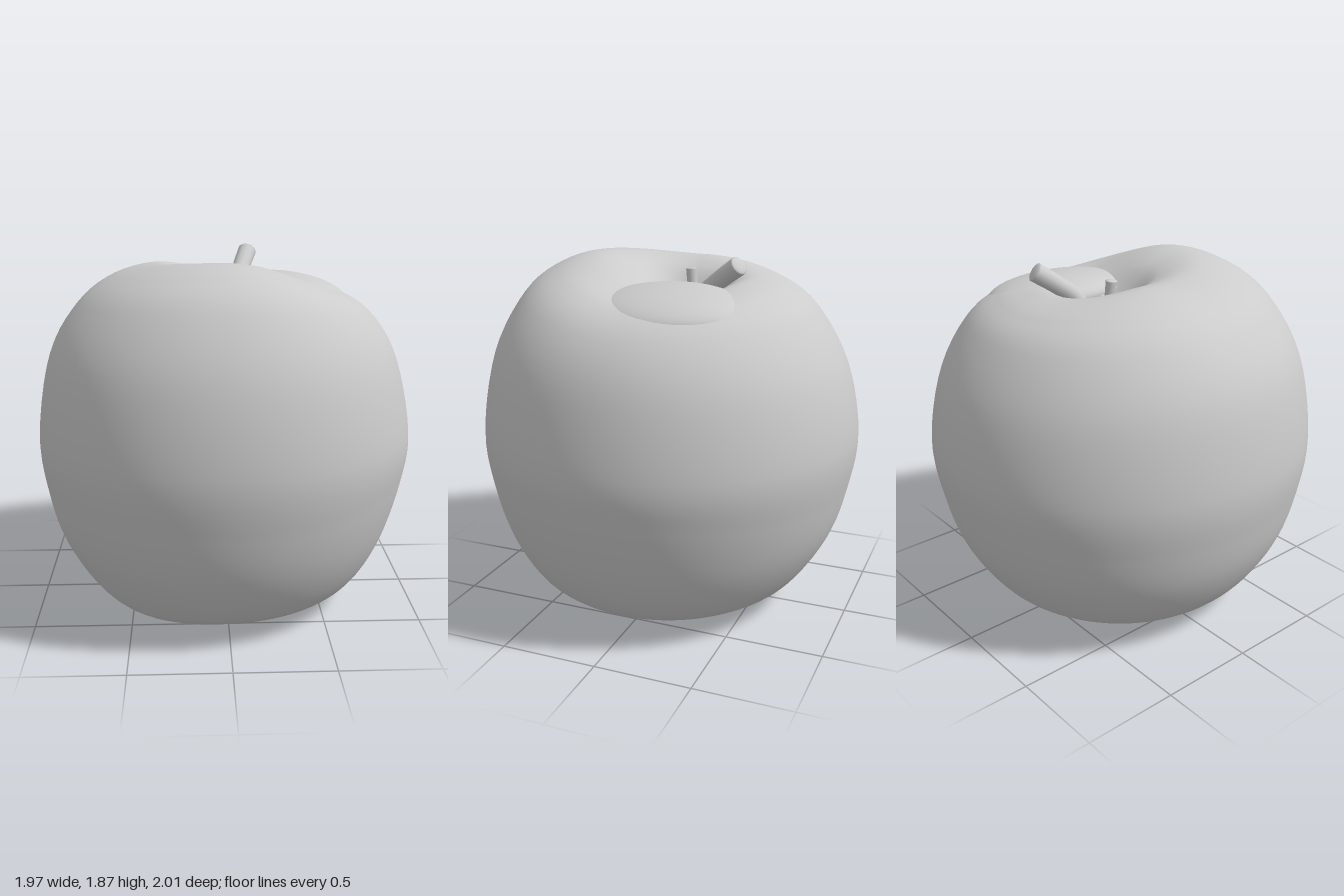
import * as THREE from 'three';
import { ParametricGeometry } from 'three/addons/geometries/ParametricGeometry.js';

// Section outlines [distance along axis, height], from the stem hollow over the
// shoulder and down to the calyx hollow, one per quarter of the fruit.
const SECTIONS = {
  left: [[0, 1.5], [.06, 1.54], [.12, 1.6], [.22, 1.67], [.34, 1.705], [.57, 1.685], [.76, 1.565], [.9, 1.33],
    [.98, .95], [.955, .7], [.87, .4], [.76, .19], [.63, .08], [.47, .04], [.33, .12], [.18, .22], [0, .28]],
  front: [[-.12, 1.5], [-.02, 1.56], [.07, 1.68], [.2, 1.8], [.4, 1.85], [.6, 1.795], [.77, 1.66], [.93, 1.36],
    [1, .95], [.96, .62], [.88, .36], [.74, .14], [.6, .06], [.43, .03], [.32, .11], [.18, .22], [0, .28]],
  right: [[0, 1.5], [-.07, 1.56], [-.13, 1.67], [-.22, 1.765], [-.36, 1.805], [-.58, 1.75], [-.76, 1.615], [-.91, 1.36],
    [-.98, .95], [-.95, .65], [-.88, .4], [-.74, .17], [-.58, .06], [-.4, .03], [-.31, .11], [-.18, .22], [0, .28]],
  back: [[-.12, 1.5], [-.2, 1.56], [-.27, 1.67], [-.36, 1.735], [-.46, 1.745], [-.62, 1.695], [-.77, 1.58], [-.93, 1.3],
    [-1, .95], [-.96, .65], [-.88, .4], [-.73, .17], [-.59, .075], [-.43, .04], [-.32, .12], [-.18, .22], [0, .28]],
};

// Soft round falloff used for the dent and the foot of the fruit
const falloff = (dx, dz, size) => Math.exp(-(dx * dx + dz * dz) / (size * size));

export function createModel() {
  const group = new THREE.Group();
  const material = new THREE.MeshStandardMaterial({ color: 0xcccccc, roughness: 0.8 });
  const add = (name, geometry) => {
    const mesh = new THREE.Mesh(geometry, material);
    mesh.name = name;
    group.add(mesh);
    return mesh;
  };

  // Fruit body: blend the four sections smoothly around the core
  const curves = Object.values(SECTIONS).map(
    (points) => new THREE.SplineCurve(points.map(([d, y]) => new THREE.Vector2(d, y))));
  const p = new THREE.Vector2();
  const skin = (u, v, target) => {
    const a = u * Math.PI * 2;
    const coreZ = -0.12 * (1 - THREE.MathUtils.smoothstep(v, 0, 0.45));
    let r = 0.001, y = 0;
    curves.forEach((curve, i) => {
      const w = Math.max(0, Math.cos(a - i * Math.PI / 2)) ** 2;
      curve.getPoint(v, p);
      r += w * Math.abs(p.x - (i % 2 ? coreZ : 0));
      y += w * p.y;
    });
    // fuller cheek at the front right
    r *= 1 + 0.03 * Math.max(0, Math.cos(a - Math.PI * 0.75)) ** 6;
    const x = r * Math.cos(a), z = coreZ + r * Math.sin(a);
    // dent in the left shoulder, lower foot at the front right
    const top = THREE.MathUtils.smoothstep(y, 0.9, 1.6);
    const foot = 1 - THREE.MathUtils.smoothstep(y, 0.05, 0.4);
    y -= 0.04 * top * falloff(x - 0.35, z + 0.08, 0.32) + 0.03 * foot * falloff(x + 0.33, z - 0.38, 0.3);
    target.set(x, y, z);
  };
  add('fruitBody', new ParametricGeometry(skin, 96, 80));

  // Fleshy lobes swelling out of the stem hollow
  const lobe = (name, position, scale, tilt) => {
    const mesh = add(name, new THREE.SphereGeometry(1, 48, 32));
    mesh.position.set(...position);
    mesh.scale.set(...scale);
    mesh.rotation.z = tilt;
  };
  lobe('shoulderLobe', [0.35, 1.635, -0.13], [0.31, 0.105, 0.39], -0.13);
  lobe('innerLobe', [0.06, 1.57, -0.05], [0.09, 0.1, 0.14], 0);

  // Tapered twig along a path, with a closed end
  const twig = (name, points, radii) => {
    const path = new THREE.CatmullRomCurve3(points.map((q) => new THREE.Vector3(...q)));
    const steps = 12, sides = 12;
    const geometry = new THREE.TubeGeometry(path, steps, 1, sides);
    const pos = geometry.attributes.position;
    const c = new THREE.Vector3(), q = new THREE.Vector3();
    for (let i = 0; i <= steps; i++) {
      path.getPointAt(i / steps, c);
      const r = THREE.MathUtils.lerp(radii[0], radii[1], i / steps);
      for (let j = 0; j <= sides; j++) {
        const k = i * (sides + 1) + j;
        q.fromBufferAttribute(pos, k).sub(c).multiplyScalar(r).add(c);
        pos.setXYZ(k, q.x, q.y, q.z);
      }
    }
    add(name, geometry);
    const cap = add(name + 'Tip', new THREE.SphereGeometry(radii[1], sides, 8));
    cap.position.copy(path.getPoint(1));
    cap.scale.z = 0.25;
    cap.quaternion.setFromUnitVectors(new THREE.Vector3(0, 0, 1), path.getTangent(1));
  };
  twig('stem', [[0.03, 1.5, -0.14], [0.07, 1.68, -0.22], [0.1, 1.75, -0.3], [0.14, 1.83, -0.41]], [0.04, 0.05]);
  twig('stemStub', [[-0.03, 1.5, -0.11], [-0.05, 1.65, -0.1], [-0.06, 1.77, -0.09]], [0.02, 0.03]);

  // Calyx: small bud in the lower hollow with a ring of dry sepals
  const bud = add('calyxBud', new THREE.SphereGeometry(0.04, 16, 12));
  bud.position.y = 0.27;
  for (let i = 0; i < 5; i++) {
    const a = i * Math.PI * 2 / 5;
    const sepal = add('sepal', new THREE.ConeGeometry(0.018, 0.08, 6));
    sepal.position.set(0.03 * Math.cos(a), 0.235, 0.03 * Math.sin(a));
    sepal.quaternion.setFromUnitVectors(new THREE.Vector3(0, 1, 0),
      new THREE.Vector3(0.5 * Math.cos(a), -1, 0.5 * Math.sin(a)).normalize());
  }
  return group;
}
